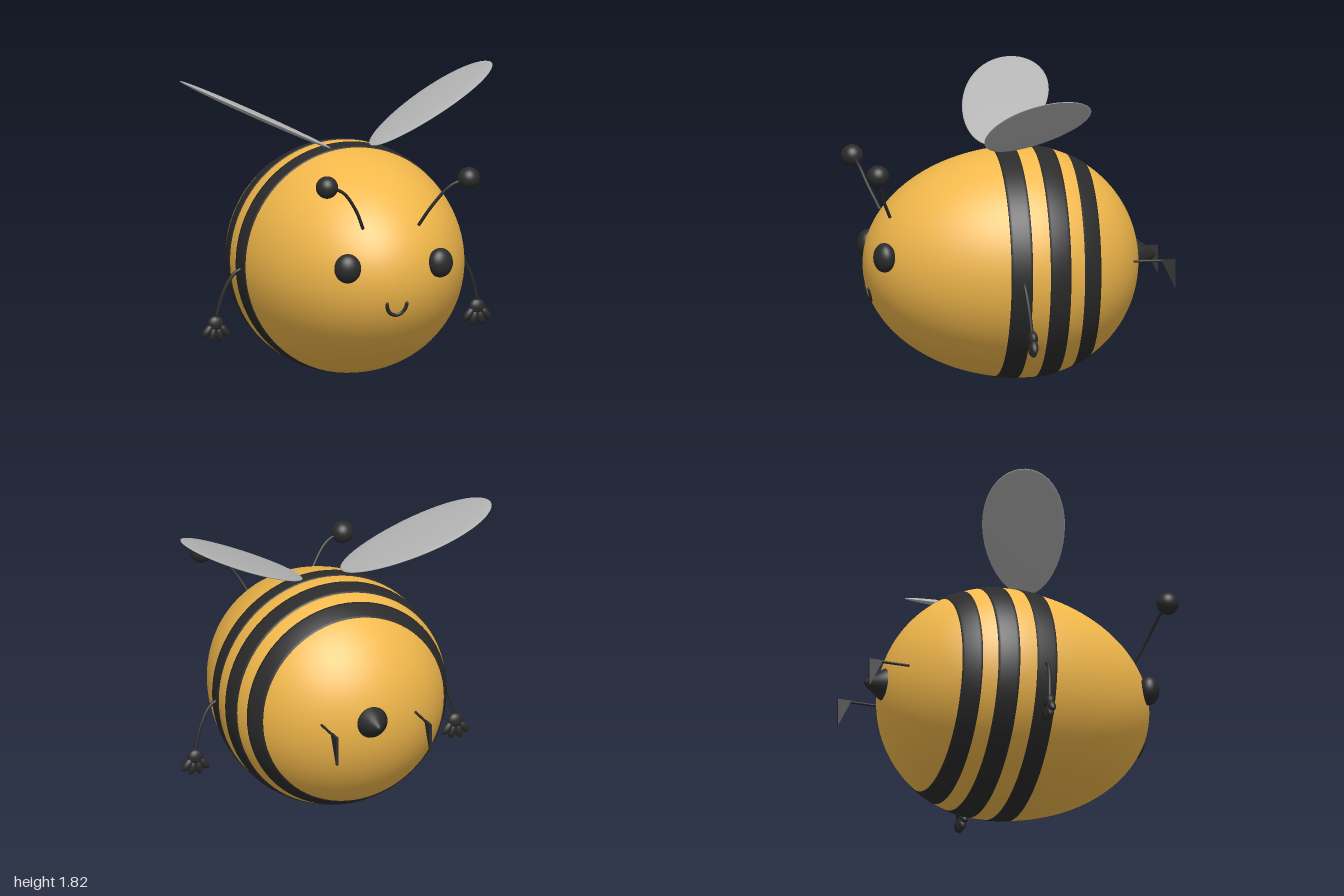
import * as THREE from 'three';

const mat = (color) => new THREE.MeshStandardMaterial({ color });
const yellow = mat(0xf2b84b);
const black = mat(0x2b2b2b);
const grey = mat(0xb4b4b4);
grey.side = THREE.DoubleSide;

// Egg-shaped body: round section, longer nose than tail
const CY = 0.715, CZ = -0.07, R = 0.705, NOSE = 0.97, TAIL = 0.71;
const axisOf = (dz) => (dz < 0 ? TAIL : NOSE);
const radiusAt = (z) => R * Math.sqrt(Math.max(0, 1 - ((z - CZ) / axisOf(z - CZ)) ** 2));
const noseZ = (x, y) => CZ + NOSE * Math.sqrt(1 - (x * x + (y - CY) ** 2) / (R * R));

const v = (x, y, z) => new THREE.Vector3(x, y, z);

function add(parent, name, geometry, material, x = 0, y = 0, z = 0) {
  const mesh = new THREE.Mesh(geometry, material);
  mesh.name = name;
  mesh.position.set(x, y, z);
  parent.add(mesh);
  return mesh;
}

const ellipsoid = (a, b, c, w = 32, h = 20) => new THREE.SphereGeometry(1, w, h).scale(a, b, c);

const tube = (points, r) =>
  new THREE.TubeGeometry(new THREE.CatmullRomCurve3(points), 32, r, 10);

// Lathe whose axis runs along z
const latheZ = (points, seg = 80) => new THREE.LatheGeometry(points, seg).rotateX(Math.PI / 2);

function bodyGeometry() {
  const pts = [];
  for (let i = 0; i <= 64; i++) {
    const t = (i / 64 - 0.5) * Math.PI;
    const s = Math.sin(t);
    pts.push(new THREE.Vector2(Math.max(0, R * Math.cos(t)), CZ + axisOf(s) * s));
  }
  return latheZ(pts);
}

// Stripe band lying just above the body, with edges turned inward
function stripeGeometry(z0, z1) {
  const pts = [new THREE.Vector2(radiusAt(z0) - 0.01, z0)];
  for (let i = 0; i <= 8; i++) {
    const z = z0 + ((z1 - z0) * i) / 8;
    pts.push(new THREE.Vector2(radiusAt(z) + 0.004, z));
  }
  pts.push(new THREE.Vector2(radiusAt(z1) - 0.01, z1));
  return latheZ(pts);
}

// Thin lens-like wing, a little narrower at the root
function wingGeometry() {
  const geo = new THREE.SphereGeometry(1, 48, 24);
  const p = geo.attributes.position;
  for (let i = 0; i < p.count; i++) {
    const x = p.getX(i);
    p.setXYZ(i, x * 0.504, p.getY(i) * 0.02, p.getZ(i) * 0.251 * (1 + 0.12 * x));
  }
  geo.computeVertexNormals();
  return geo;
}

// Everything that comes in pairs; s = 1 is the left side, -1 the right
function buildSide(s, side) {
  const g = new THREE.Group();
  g.name = side + 'Parts';

  // Wing: swept backward in its plane, then raised outward
  const wing = add(g, side + 'Wing', wingGeometry(), grey, s * 0.565, 1.617, -0.06);
  wing.rotation.order = 'ZYX';
  wing.rotation.z = s * 0.45;
  wing.rotation.y = s > 0 ? 0.339 : Math.PI - 0.339;

  // Eye
  const eye = add(g, side + 'Eye', ellipsoid(0.082, 0.09, 0.065), black, s * 0.3, 0.8, 0.825);
  eye.rotation.y = s * 0.25;

  // Antenna with ball tip
  add(g, side + 'Antenna', tube([
    v(s * 0.18, 1.03, 0.77), v(s * 0.25, 1.16, 0.828),
    v(s * 0.35, 1.28, 0.872), v(s * 0.46, 1.325, 0.893)], 0.01), black);
  add(g, side + 'AntennaBall', ellipsoid(0.068, 0.068, 0.068), black, s * 0.46, 1.322, 0.893);

  // Arm
  add(g, side + 'Arm', tube([
    v(s * 0.68, 0.7, 0.04), v(s * 0.74, 0.665, 0.036),
    v(s * 0.805, 0.55, 0.024), v(s * 0.85, 0.38, 0.01)], 0.011), black);

  // Hand: palm and four fanned fingers
  const hand = new THREE.Group();
  hand.name = side + 'Hand';
  hand.position.set(s * 0.847, 0.36, 0.006);
  add(hand, 'palm', ellipsoid(0.05, 0.048, 0.03, 20, 14), black);
  [-0.85, -0.3, 0.3, 0.85].forEach((a) => {
    const finger = add(hand, 'finger', ellipsoid(0.025, 0.05, 0.025, 16, 12), black,
      Math.sin(a) * 0.07, -Math.cos(a) * 0.065, 0);
    finger.rotation.z = a * 0.8;
  });
  g.add(hand);

  // Hind leg: thin rod with a flat triangular foot
  const rod = new THREE.CylinderGeometry(0.008, 0.008, 0.27, 10).rotateX(Math.PI / 2);
  add(g, side + 'Leg', rod, black, s * 0.305, 0.742, -0.825);
  const shape = new THREE.Shape([
    new THREE.Vector2(0.875, 0.75), new THREE.Vector2(0.963, 0.75), new THREE.Vector2(0.963, 0.57)]);
  const foot = new THREE.ExtrudeGeometry(shape, { depth: 0.016, bevelEnabled: false });
  foot.translate(0, 0, -0.008).rotateY(Math.PI / 2);
  add(g, side + 'Foot', foot, black, s * 0.305);
  return g;
}

export function createModel() {
  const model = new THREE.Group();
  model.name = 'bee';

  add(model, 'body', bodyGeometry(), yellow, 0, CY, 0);
  [[-0.02, 0.11], [-0.26, -0.13], [-0.46, -0.35]].forEach(([z0, z1], i) =>
    add(model, 'stripe' + (i + 1), stripeGeometry(z0, z1), black, 0, CY, 0));

  // Smile hugging the face, with rounded ends
  const smile = [];
  for (let i = 0; i <= 10; i++) {
    const a = Math.PI * (1 + i / 10);
    const x = 0.063 * Math.cos(a), y = 0.575 + 0.073 * Math.sin(a);
    smile.push(v(x, y, noseZ(x, y)));
  }
  add(model, 'mouth', tube(smile, 0.012), black);
  [smile[0], smile[10]].forEach((p) =>
    add(model, 'mouthCorner', ellipsoid(0.012, 0.012, 0.012, 12, 8), black, p.x, p.y, p.z));

  // Stinger: cone with a blunt tip
  const stinger = [[0, -0.893], [0.012, -0.89], [0.024, -0.88], [0.06, -0.83], [0.098, -0.775], [0.1, -0.74]]
    .map(([r, z]) => new THREE.Vector2(r, z));
  add(model, 'stinger', latheZ(stinger, 32), black, 0, 0.74, 0);

  model.add(buildSide(1, 'left'), buildSide(-1, 'right'));
  return model;
}
